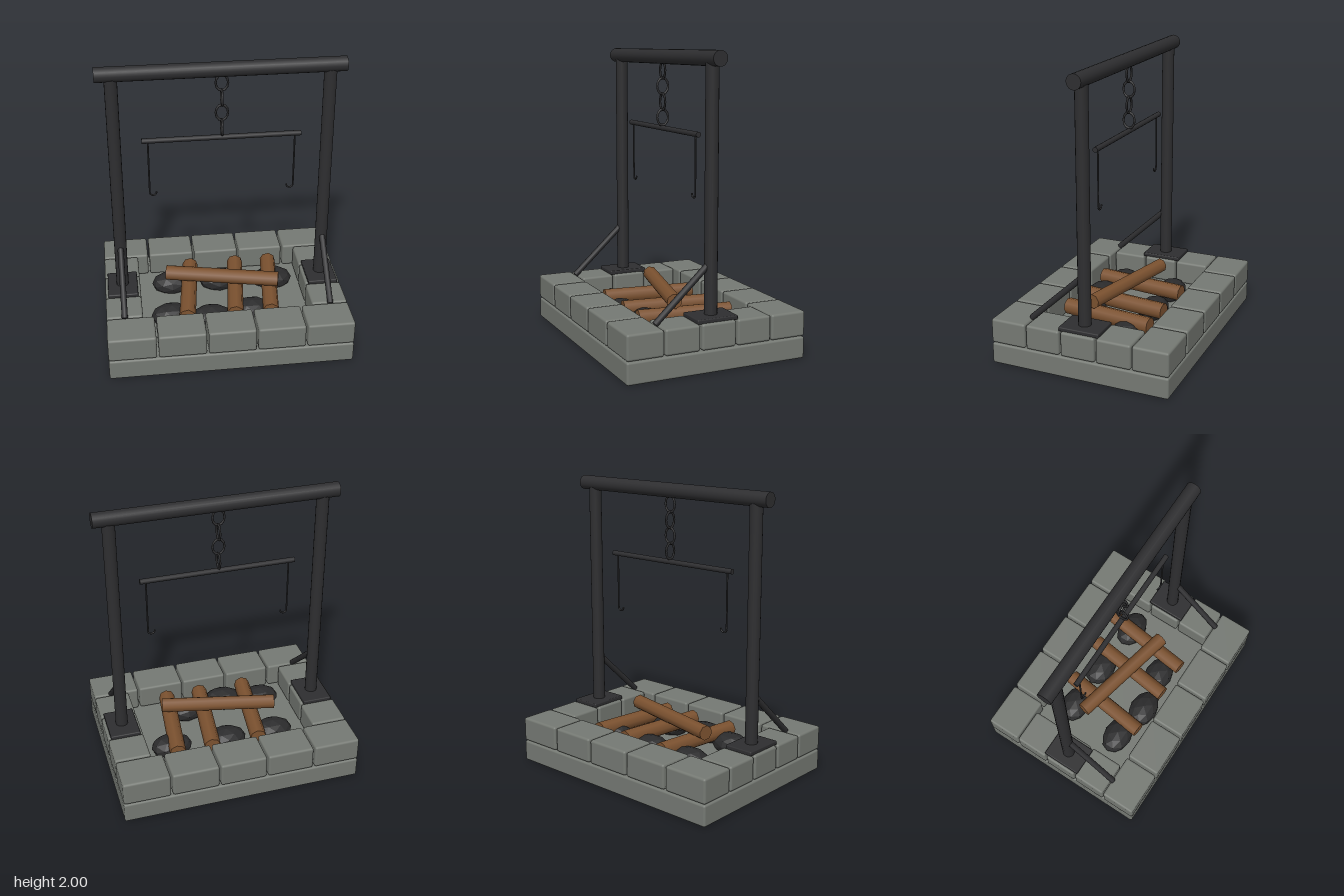
import * as THREE from 'three';
import { RoundedBoxGeometry } from 'three/addons/geometries/RoundedBoxGeometry.js';

const mat = (name, color, extra = {}) => new THREE.MeshStandardMaterial({ name, color, ...extra });

export function createModel() {
  const stone = mat('stone grey', 0x757973);
  const iron = mat('iron', 0x2e2e30);
  const coal = mat('coal', 0x2b2b2c, { flatShading: true });
  const wood = mat('wood brown', 0x7c5230);
  const model = new THREE.Group();
  model.name = 'firePit';

  const add = (name, geometry, material, x = 0, y = 0, z = 0) => {
    const mesh = new THREE.Mesh(geometry, material);
    mesh.name = name;
    mesh.position.set(x, y, z);
    model.add(mesh);
    return mesh;
  };
  // Round bar between two points
  const rod = (name, a, b, r, material, sides = 16) => {
    const p = new THREE.Vector3(...a), q = new THREE.Vector3(...b);
    const dir = q.clone().sub(p);
    const mesh = add(name, new THREE.CylinderGeometry(r, r, dir.length(), sides), material);
    mesh.position.copy(p).add(q).multiplyScalar(0.5);
    mesh.quaternion.setFromUnitVectors(new THREE.Vector3(0, 1, 0), dir.normalize());
    return mesh;
  };

  // Stone base and the ring of blocks on it
  add('base', new RoundedBoxGeometry(1.68, 0.146, 1.26, 2, 0.014), stone, 0, 0.073, 0);
  const longBlock = new RoundedBoxGeometry(0.326, 0.17, 0.25, 2, 0.016);
  const sideBlock = new RoundedBoxGeometry(0.25, 0.17, 0.24, 2, 0.016);
  for (const s of [-1, 1]) {
    for (let i = -2; i <= 2; i++) add('rimBlock', longBlock, stone, i * 0.3385, 0.235, s * 0.505);
    for (let i = -1; i <= 1; i++) add('sideBlock', sideBlock, stone, s * 0.715, 0.235, i * 0.252);
  }

  // Coals
  const coalShape = new THREE.IcosahedronGeometry(1, 1);
  [[-0.35, -0.19], [0, -0.19], [0.395, -0.165], [-0.38, 0.21], [-0.105, 0.262], [0.19, 0.21]]
    .forEach(([x, z]) => add('coal', coalShape, coal, x, 0.19, z).scale.set(0.147, 0.08, 0.104));

  // Three lower logs and one laid across them
  for (const x of [-0.241, 0.097, 0.348])
    rod('lowerLog', [x - 0.039, 0.25, 0.327], [x + 0.039, 0.25, -0.32], 0.057, wood, 8);
  rod('crossLog', [-0.395, 0.355, -0.083], [0.395, 0.355, 0.098], 0.052, wood, 8);

  // Frame: foot plates, posts, braces and top beam
  for (const s of [-1, 1]) {
    add('footPlate', new RoundedBoxGeometry(0.21, 0.03, 0.285, 2, 0.008), iron, s * 0.715, 0.33, 0);
    rod('post', [s * 0.715, 0.33, 0], [s * 0.715, 1.92, 0], 0.043, iron);
    rod('brace', [s * 0.715, 0.322, 0.388], [s * 0.715, 0.665, 0.02], 0.021, iron, 12);
  }
  rod('topBeam', [-0.82, 1.95, 0], [0.82, 1.95, 0], 0.05, iron, 20);

  // Chain of alternating links
  const link = new THREE.TorusGeometry(0.041, 0.0075, 6, 12);
  for (let i = 0; i < 4; i++) {
    const ring = add('chainLink', link, iron, 0, 1.858 - i * 0.106, 0);
    ring.scale.y = 1.33;
    ring.rotation.y = i % 2 ? Math.PI / 2 : 0;
  }

  // Hanging bar with two hooks curling inwards
  rod('hangingBar', [-0.535, 1.467, 0], [0.535, 1.467, 0], 0.018, iron, 12);
  for (const s of [-1, 1]) {
    rod('hookStem', [s * 0.494, 1.46, 0], [s * 0.494, 1.077, 0], 0.006, iron, 8);
    const curve = [];
    for (let i = 0; i <= 8; i++) {
      const a = Math.PI * (1 + i / 8);
      curve.push(new THREE.Vector3(-s * (0.023 * Math.cos(a)) + s * 0.471, 1.077 + 0.023 * Math.sin(a), 0));
    }
    const path = new THREE.CatmullRomCurve3(curve);
    add('hookCurl', new THREE.TubeGeometry(path, 14, 0.006, 8), iron);
    add('hookTip', new THREE.SphereGeometry(0.006, 8, 6), iron, s * 0.448, 1.077, 0);
  }
  return model;
}
